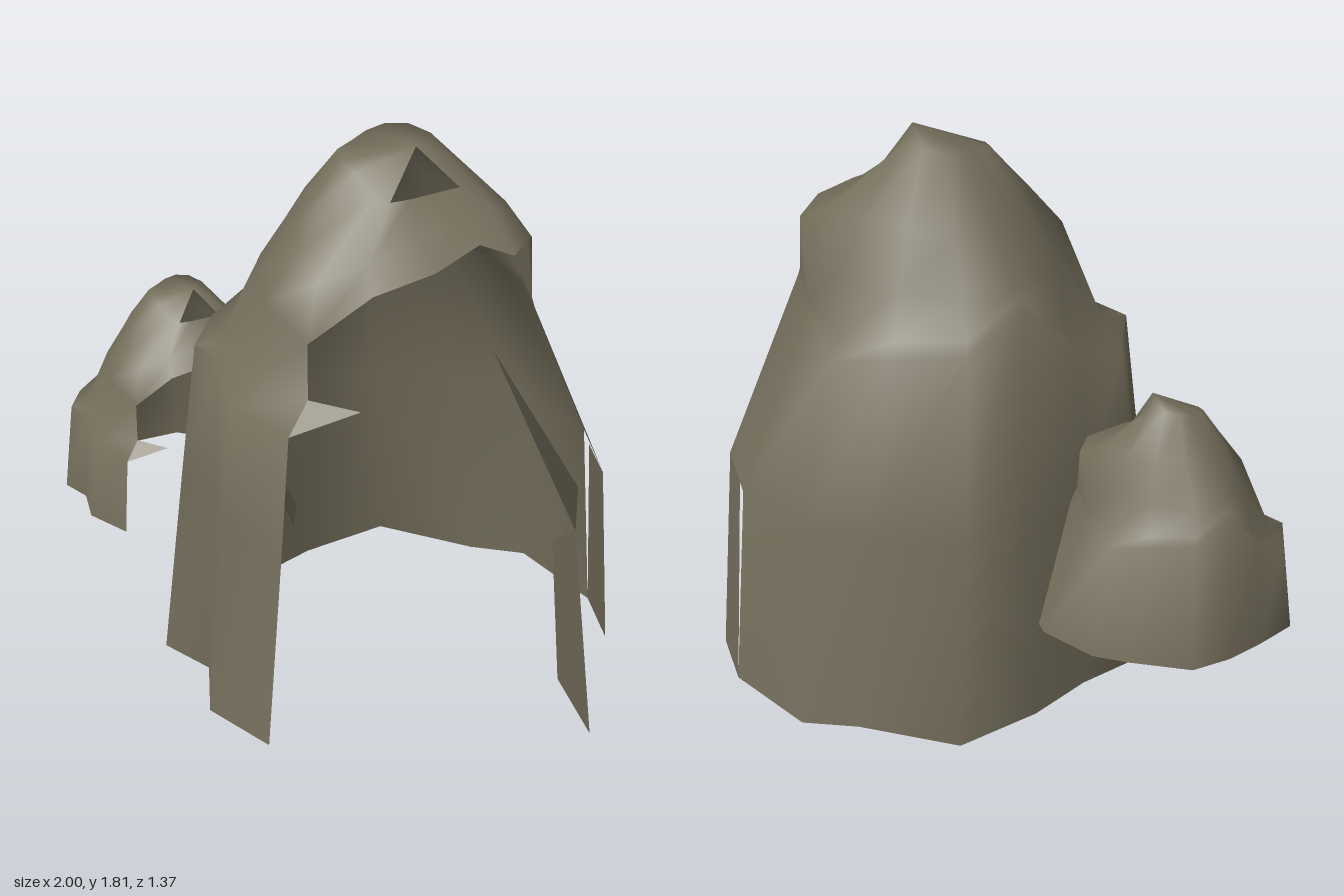
import * as THREE from 'three';
import { toCreasedNormals } from 'three/addons/utils/BufferGeometryUtils.js';

const stone = new THREE.MeshStandardMaterial({ color: 0x756f5c, side: THREE.DoubleSide });
stone.name = 'brown grey stone';

// Wall outlines run from the front edge round the left and back to the open right side.
const FOOT = [
  [0.21, 0, 0.68], [-0.05, 0, 0.64], [-0.19, 0, 0.46], [-0.38, 0, 0.44], [-0.48, 0, 0.22], [-0.37, 0, -0.05],
  [-0.32, 0, -0.28], [-0.2, 0, -0.55], [0.13, 0, -0.62], [0.3, 0, -0.69], [0.62, 0, -0.58],
];
const MIDDLE = [
  [0.21, 0.68, 0.6], [-0.03, 0.68, 0.58], [-0.17, 0.68, 0.43], [-0.32, 0.68, 0.4], [-0.41, 0.68, 0.21], [-0.35, 0.68, -0.04],
  [-0.28, 0.68, -0.26], [-0.17, 0.68, -0.46], [0.13, 0.68, -0.57], [0.3, 0.68, -0.61], [0.6, 0.68, -0.53], [0.78, 0.68, -0.34],
];
const SHELF = [
  [0.21, 1.06, 0.56], [-0.02, 1.08, 0.54], [-0.16, 1.12, 0.4], [-0.28, 1.13, 0.37], [-0.36, 1.12, 0.18], [-0.31, 1.2, -0.02],
  [-0.23, 1.38, -0.21], [-0.12, 1.27, -0.36], [0.1, 1.24, -0.45], [0.27, 1.22, -0.51], [0.46, 1.26, -0.34], [0.6, 1.29, -0.18],
];
// Inner edge of the shelf, where the dome rises; it fades out towards the back.
const NECK = [
  [0.21, 1.14, 0.46], [0, 1.14, 0.45], [-0.13, 1.15, 0.38], [-0.24, 1.15, 0.28], [-0.28, 1.16, 0.16], [-0.27, 1.24, -0.02],
  [-0.2, 1.4, -0.19], [-0.11, 1.31, -0.34], [0.11, 1.28, -0.41], [0.28, 1.27, -0.43], [0.47, 1.3, -0.32], [0.59, 1.32, -0.18],
];
// Dome rings are closed; the last five points form the overhang above the opening.
const LOW_RING = [
  [0.21, 1.33, 0.46], [0.03, 1.4, 0.43], [-0.06, 1.42, 0.34], [-0.14, 1.42, 0.21], [-0.19, 1.4, 0.09], [-0.19, 1.4, -0.02],
  [-0.17, 1.43, -0.18], [-0.08, 1.42, -0.3], [0.13, 1.42, -0.34], [0.31, 1.44, -0.34], [0.5, 1.45, -0.29],
  [0.57, 1.51, -0.2], [0.6, 1.52, -0.05], [0.51, 1.55, 0], [0.47, 1.52, 0.18], [0.36, 1.48, 0.34],
];
const HIGH_RING = [
  [0.2, 1.5, 0.4], [0.08, 1.54, 0.33], [0.01, 1.58, 0.23], [-0.05, 1.6, 0.14], [-0.08, 1.6, 0.06], [-0.08, 1.6, -0.02],
  [-0.06, 1.6, -0.12], [0, 1.58, -0.22], [0.14, 1.58, -0.27], [0.3, 1.58, -0.26], [0.45, 1.58, -0.24],
  [0.46, 1.6, -0.15], [0.46, 1.61, -0.06], [0.43, 1.61, 0.02], [0.38, 1.59, 0.14], [0.3, 1.54, 0.27],
];
const TOP_RING = [
  [0.21, 1.67, 0.12], [0.14, 1.73, 0.12], [0.08, 1.75, 0.1], [0.04, 1.76, 0.06], [0.04, 1.76, 0.02], [0.04, 1.76, -0.02],
  [0.06, 1.78, -0.06], [0.09, 1.79, -0.12], [0.16, 1.8, -0.14], [0.24, 1.79, -0.14], [0.3, 1.73, -0.14],
  [0.36, 1.65, -0.12], [0.34, 1.655, -0.06], [0.32, 1.66, 0], [0.3, 1.665, 0.06], [0.27, 1.67, 0.12],
];

// Triangles between two neighbouring outlines.
function band(low, high, closed) {
  const out = [];
  const n = low.length;
  for (let i = 0; i < (closed ? n : n - 1); i++) {
    const j = (i + 1) % n;
    out.push(low[i], high[i], low[j], low[j], high[i], high[j]);
  }
  return out;
}

// Triangles fanning out from the first point.
function fan(points) {
  const out = [];
  for (let i = 1; i < points.length - 1; i++) out.push(points[0], points[i + 1], points[i]);
  return out;
}

function addMesh(group, name, triangles) {
  const geometry = new THREE.BufferGeometry();
  geometry.setAttribute('position', new THREE.Float32BufferAttribute(triangles.flat(), 3));
  const mesh = new THREE.Mesh(toCreasedNormals(geometry, 1.25), stone);
  mesh.name = name;
  group.add(mesh);
}

function makeRock(name, fullHeight) {
  const rock = new THREE.Group();
  rock.name = name;

  // Leaning wall; the tall rock has a narrow slit in its lower back corner
  const shell = band(MIDDLE, SHELF, false);
  if (fullHeight) {
    shell.push(
      ...band(FOOT, MIDDLE.slice(0, FOOT.length), false),
      ...fan([MIDDLE[11], [0.78, 0, -0.42], [0.62, 0, -0.58], [0.66, 0.68, -0.46]]),
    );
  }

  // Shelf with a small pointed lip over the opening
  shell.push(...band(SHELF, NECK, false), SHELF[0], NECK[0], [0.36, 1.12, 0.4]);

  // Dome, its cap leaving a three-cornered hole on the right
  shell.push(
    ...band(NECK, LOW_RING.slice(0, NECK.length), false),
    ...band(LOW_RING, HIGH_RING, true),
    ...band(HIGH_RING, TOP_RING, true),
    ...fan([[0.28, 1.81, 0], TOP_RING[15], ...TOP_RING.slice(0, 12)]),
  );
  addMesh(rock, 'shell', shell);

  // Loose slabs standing on the open side
  addMesh(rock, 'upperSideSlab', fan([[0.64, 1.29, 0.12], [0.76, 0.68, -0.22], [0.88, 0.68, 0]]));
  if (fullHeight) {
    addMesh(rock, 'lowerSideSlab', fan([[0.88, 0.68, 0], [0.71, 0.5, -0.16], [0.77, 0, -0.13], [1, 0, 0.06]]));
  }
  return rock;
}

export function createModel() {
  const model = new THREE.Group();
  model.name = 'rockFormation';
  model.add(makeRock('largeRock', true));

  // Smaller, shorter rock set into the right flank
  const small = makeRock('smallRock', false);
  small.scale.set(0.65, 0.68, 0.56);
  small.position.set(-0.735, -0.145, 0.02);
  model.add(small);
  return model;
}
